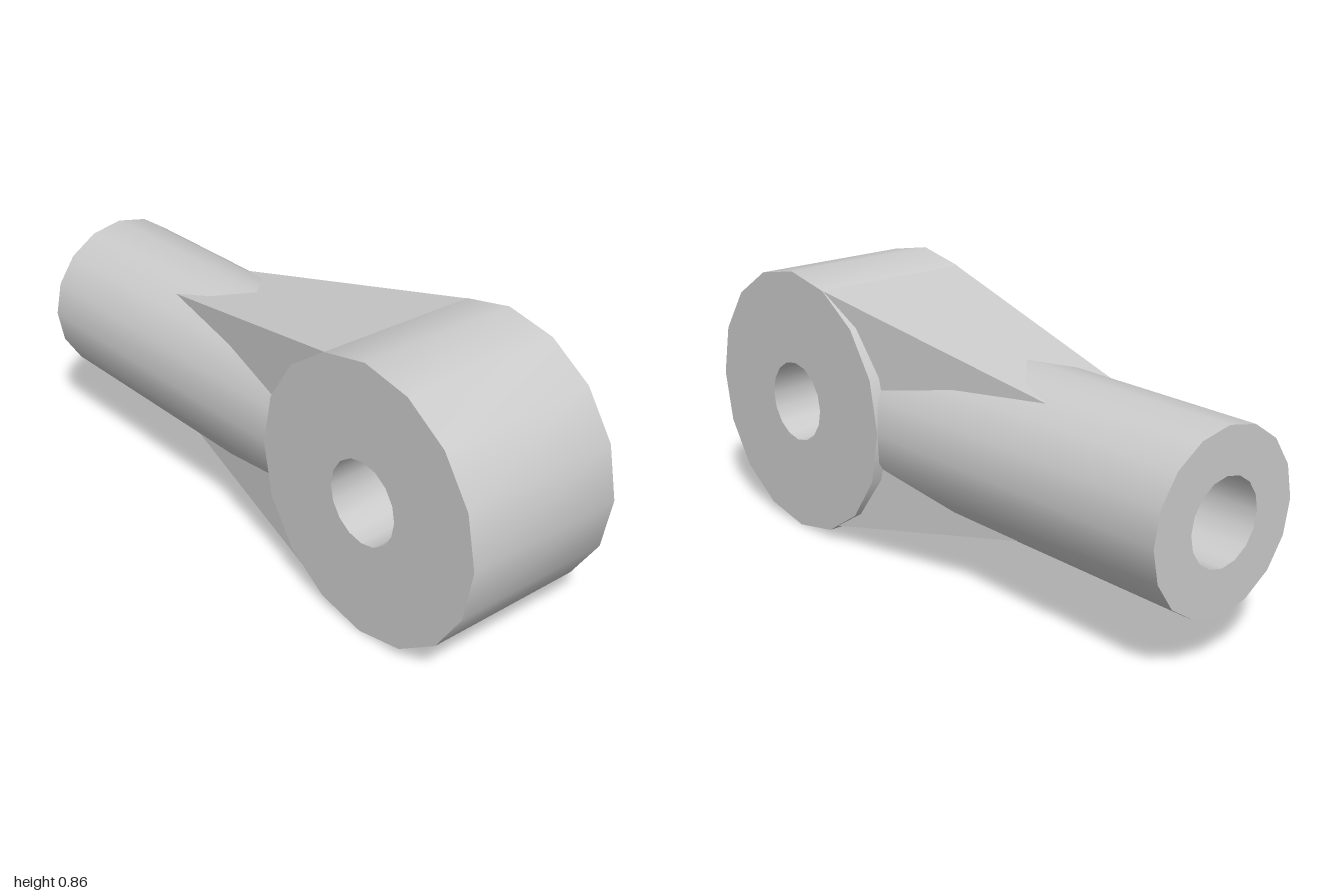
import * as THREE from 'three';
import { toCreasedNormals } from 'three/addons/utils/BufferGeometryUtils.js';

const material = new THREE.MeshStandardMaterial({ color: 0xcccccc });
const AXIS_Y = 0.43, EYE_Z = 0.57, EYE_R = 0.43, SHANK_R = 0.27, BORE_R = 0.13;

// 16-sided turned part, smooth around and sharp at the rims
function turned(name, profile) {
  const points = profile.map(([r, h]) => new THREE.Vector2(r, h));
  const geometry = toCreasedNormals(new THREE.LatheGeometry(points, 16), 0.6);
  const mesh = new THREE.Mesh(geometry, material);
  mesh.name = name;
  return mesh;
}

// Open tapered sleeve joining two rectangular sections, flat faced
function taper(name, front, back) {
  const corners = ({ x, bottom, top, z }) =>
    [[x, bottom, z], [x, top, z], [-x, top, z], [-x, bottom, z]];
  const f = corners(front), b = corners(back), positions = [];
  for (let i = 0; i < 4; i++) {
    const j = (i + 1) % 4;
    positions.push(...f[i], ...b[i], ...b[j], ...f[i], ...b[j], ...f[j]);
  }
  const geometry = new THREE.BufferGeometry();
  geometry.setAttribute('position', new THREE.Float32BufferAttribute(positions, 3));
  geometry.computeVertexNormals();
  const mesh = new THREE.Mesh(geometry, material);
  mesh.name = name;
  return mesh;
}

export function createModel() {
  const group = new THREE.Group();
  group.name = 'rodEnd';

  // Eye with a cross bore
  const w = SHANK_R;
  const eye = turned('eye', [[BORE_R, -w], [EYE_R, -w], [EYE_R, w], [BORE_R, w], [BORE_R, -w]]);
  eye.rotation.z = Math.PI / 2;
  eye.position.set(0, AXIS_Y, EYE_Z);

  // Round shank with a blind bore, open at the back
  const shank = turned('shank', [
    [0, -0.25], [SHANK_R, -0.25], [SHANK_R, 1], [BORE_R, 1], [BORE_R, 0.1], [0, 0.1],
  ]);
  shank.rotation.x = -Math.PI / 2;
  shank.position.y = AXIS_Y;

  // Tapered neck from the eye into the shank wall
  const neck = taper('neck',
    { x: 0.27, bottom: 0.046, top: 0.83, z: 0.42 },
    { x: 0.137, bottom: 0.243, top: 0.647, z: -0.5 });

  group.add(eye, shank, neck);
  return group;
}
